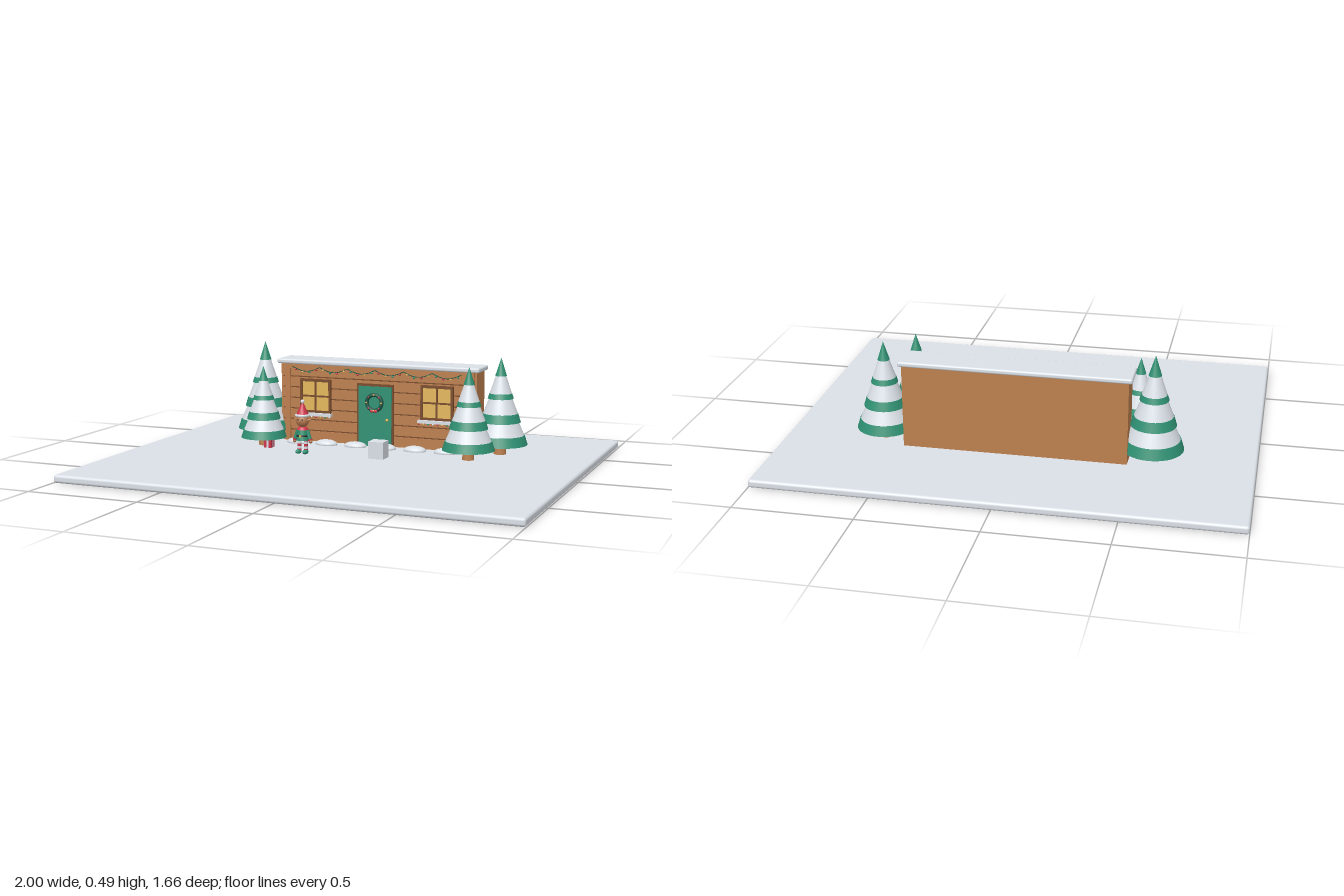
import * as THREE from 'three';
import { RoundedBoxGeometry } from 'three/addons/geometries/RoundedBoxGeometry.js';

const mat = (name, color) => Object.assign(new THREE.MeshStandardMaterial({ color }), { name });

export function createModel() {
  const M = {
    snow: mat('snow', 0xe2e8ef),
    wood: mat('wood', 0xbd7f4e),
    darkWood: mat('darkWood', 0x7a4c2c),
    green: mat('green', 0x2f9173),
    darkGreen: mat('darkGreen', 0x1d5544),
    red: mat('red', 0xcc3348),
    gold: mat('gold', 0xe3b75c),
    skin: mat('skin', 0xb87a50),
    dark: mat('dark', 0x2b2422),
  };
  const root = new THREE.Group();
  root.name = 'winterCabinScene';

  const add = (parent, name, geo, material, x = 0, y = 0, z = 0) => {
    const m = new THREE.Mesh(geo, material);
    m.name = name;
    m.position.set(x, y, z);
    parent.add(m);
    return m;
  };
  const box = (p, name, material, w, h, d, x, y, z) =>
    add(p, name, new THREE.BoxGeometry(w, h, d), material, x, y, z);
  const ball = (p, name, material, r, x, y, z) =>
    add(p, name, new THREE.SphereGeometry(r, 16, 12), material, x, y, z);
  const cyl = (p, name, material, rTop, rBottom, h, x, y, z, open = false) =>
    add(p, name, new THREE.CylinderGeometry(rTop, rBottom, h, 32, 1, open), material, x, y, z);
  const group = (name, x = 0, y = 0, z = 0, parent = root) => {
    const g = new THREE.Group();
    g.name = name;
    g.position.set(x, y, z);
    parent.add(g);
    return g;
  };

  const G = 0.035; // top of the snowy ground
  add(root, 'ground', new RoundedBoxGeometry(2, G, 1.66, 3, 0.012), M.snow, 0, G / 2, 0);

  // Cabin shell
  const cabin = group('cabin');
  const front = -0.274;
  box(cabin, 'walls', M.wood, 0.95, 0.36, 0.115, 0, G + 0.18, front - 0.0575);
  add(cabin, 'snowyRoof', new RoundedBoxGeometry(0.98, 0.022, 0.147, 2, 0.008), M.snow, 0, 0.406, -0.327);
  for (let i = 0; i < 7; i++) {
    const y = G + 0.027 + i * 0.05;
    box(cabin, 'plank', M.wood, 0.93, 0.044, 0.01, 0, y, front + 0.004);
    if (i < 6) box(cabin, 'plankGap', M.darkWood, 0.93, 0.006, 0.005, 0, y + 0.025, front + 0.002);
  }
  for (const s of [-1, 1]) box(cabin, 'cornerPost', M.wood, 0.026, 0.36, 0.018, s * 0.437, G + 0.18, front + 0.007);
  box(cabin, 'topBeam', M.wood, 0.93, 0.02, 0.018, 0, 0.385, front + 0.007);

  // Door with wreath
  const door = group('door', 0, 0, front + 0.012, cabin);
  box(door, 'doorFrame', M.darkWood, 0.178, 0.287, 0.008, 0, G + 0.143, 0);
  box(door, 'doorPanel', M.green, 0.16, 0.275, 0.014, 0, G + 0.138, 0.002);
  ball(door, 'doorKnob', M.gold, 0.007, 0.06, 0.16, 0.013);
  add(door, 'wreath', new THREE.TorusGeometry(0.036, 0.009, 10, 28), M.darkGreen, 0, 0.238, 0.016);
  for (let i = 0; i < 8; i++) {
    const a = (i / 8) * Math.PI * 2;
    ball(door, 'wreathBerry', i % 2 ? M.red : M.gold, 0.004, 0.036 * Math.cos(a), 0.238 + 0.036 * Math.sin(a), 0.026);
  }
  for (const s of [-1, 1]) {
    const loop = ball(door, 'wreathBow', M.red, 0.008, s * 0.009, 0.2, 0.025);
    loop.scale.set(1.2, 0.8, 0.5);
  }

  // Windows with snowy sills and small lights
  const lights = [M.red, M.gold, M.green, M.snow];
  for (const s of [-1, 1]) {
    const win = group(s > 0 ? 'leftWindow' : 'rightWindow', s * 0.295, 0.25, front + 0.012, cabin);
    box(win, 'pane', M.gold, 0.14, 0.145, 0.008, 0, 0, 0);
    for (const k of [-1, 1]) {
      box(win, 'frameSide', M.darkWood, 0.012, 0.158, 0.014, k * 0.071, 0, 0.002);
      box(win, 'frameRail', M.darkWood, 0.154, 0.012, 0.014, 0, k * 0.073, 0.002);
    }
    box(win, 'mullion', M.darkWood, 0.008, 0.145, 0.012, 0, 0, 0.002);
    box(win, 'transom', M.darkWood, 0.14, 0.008, 0.012, 0, 0, 0.002);
    box(win, 'snowySill', M.snow, 0.168, 0.013, 0.026, 0, -0.084, 0.015);
    for (let i = 0; i < 8; i++) ball(win, 'sillLight', lights[i % 4], 0.004, -0.077 + i * 0.022, -0.094, 0.027);
  }

  // Light string draped below the roof
  const pts = [];
  for (let i = 0; i <= 48; i++) {
    const t = i / 48;
    pts.push(new THREE.Vector3(-0.41 + 0.82 * t, 0.384 - 0.02 * Math.abs(Math.sin(t * Math.PI * 6)), front + 0.02));
  }
  add(cabin, 'lightCable', new THREE.TubeGeometry(new THREE.CatmullRomCurve3(pts), 96, 0.002, 6), M.darkGreen);
  for (let i = 1; i < 48; i += 2) ball(cabin, 'stringLight', lights[((i - 1) / 2) % 3], 0.005, pts[i].x, pts[i].y - 0.005, pts[i].z);

  // Snow mounds along the front wall
  for (let i = 0; i < 6; i++)
    ball(root, 'snowMound', M.snow, 1, -0.367 + i * 0.1435, 0.039, -0.215).scale.set(0.053, 0.02, 0.036);

  // Fir trees: stepped tiers, each with a green hem and a snowy slope
  const cuts = [1, 0.89, 0.74, 0.64, 0.47, 0.41, 0.21, 0];
  const tree = (x, z, r, base, top) => {
    const g = group('firTree', x, 0, z);
    const h = top - base;
    cyl(g, 'trunk', M.wood, r * 0.2, r * 0.23, base - G + 0.03, 0, (base + G + 0.03) / 2, 0);
    for (let i = 0; i < 7; i++) {
      const low = cuts[i], high = cuts[i + 1];
      const isGreen = i % 2 === 0;
      const rLow = r * low * (isGreen ? 1 : 0.98);
      const rHigh = r * high * (isGreen ? 1 : 0.9);
      cyl(g, isGreen ? 'greenTier' : 'snowTier', isGreen ? M.green : M.snow,
        rHigh, rLow, (low - high) * h, 0, top - ((low + high) / 2) * h, 0);
    }
  };
  tree(-0.57, -0.3, 0.13, 0.08, 0.49);
  tree(-0.49, -0.11, 0.104, 0.072, 0.4);
  tree(0.577, -0.3, 0.122, 0.08, 0.465);
  tree(0.487, -0.12, 0.115, 0.078, 0.44);

  // Presents below the small tree, and the snow block
  const gift = (x, z, s, paper, ribbon) => {
    const g = group('present', x, G + s / 2, z);
    box(g, 'wrapping', paper, s, s, s, 0, 0, 0);
    box(g, 'ribbonAcross', ribbon, s * 1.04, s * 1.04, s * 0.22, 0, 0, 0);
    box(g, 'ribbonAlong', ribbon, s * 0.22, s * 1.04, s * 1.04, 0, 0, 0);
  };
  gift(-0.44, -0.06, 0.036, M.red, M.snow);
  gift(-0.455, -0.1, 0.03, M.gold, M.red);
  box(root, 'snowBlock', M.snow, 0.07, 0.075, 0.07, 0.115, G + 0.04, 0);

  // Elf helper
  const elf = group('elf', -0.237, 0, 0.02);
  for (const s of [-1, 1]) {
    ball(elf, 'shoe', M.green, 1, s * 0.017, 0.044, 0.008).scale.set(0.012, 0.01, 0.022);
    for (let i = 0; i < 5; i++)
      cyl(elf, 'stocking', i % 2 ? M.snow : M.red, 0.009, 0.009, 0.011, s * 0.015, 0.052 + i * 0.011, 0);
    const arm = group('arm', s * 0.024, 0.138, 0, elf);
    arm.rotation.z = s * 0.3;
    cyl(arm, 'sleeve', M.green, 0.008, 0.009, 0.042, 0, -0.019, 0);
    cyl(arm, 'cuff', M.red, 0.01, 0.01, 0.007, 0, -0.041, 0);
    ball(arm, 'hand', M.skin, 0.008, 0, -0.05, 0);
    const ear = add(elf, 'ear', new THREE.ConeGeometry(0.009, 0.024, 12), M.skin, s * 0.034, 0.188, 0);
    ear.rotation.z = -s * 1.2;
    ball(elf, 'eye', M.dark, 0.0035, s * 0.01, 0.19, 0.025);
  }
  cyl(elf, 'tunic', M.green, 0.018, 0.029, 0.052, 0, 0.121, 0);
  cyl(elf, 'belt', M.dark, 0.026, 0.027, 0.007, 0, 0.116, 0);
  box(elf, 'buckle', M.gold, 0.01, 0.009, 0.004, 0, 0.116, 0.027);
  cyl(elf, 'collar', M.red, 0.018, 0.027, 0.012, 0, 0.149, 0);
  ball(elf, 'head', M.skin, 0.029, 0, 0.183, 0);
  ball(elf, 'nose', M.skin, 0.005, 0, 0.182, 0.03);
  cyl(elf, 'hat', M.red, 0.003, 0.031, 0.062, 0, 0.234, 0);
  add(elf, 'hatBrim', new THREE.TorusGeometry(0.028, 0.006, 10, 28), M.snow, 0, 0.207, 0).rotation.x = Math.PI / 2;
  ball(elf, 'hatPompom', M.snow, 0.009, 0, 0.268, 0);

  return root;
}
